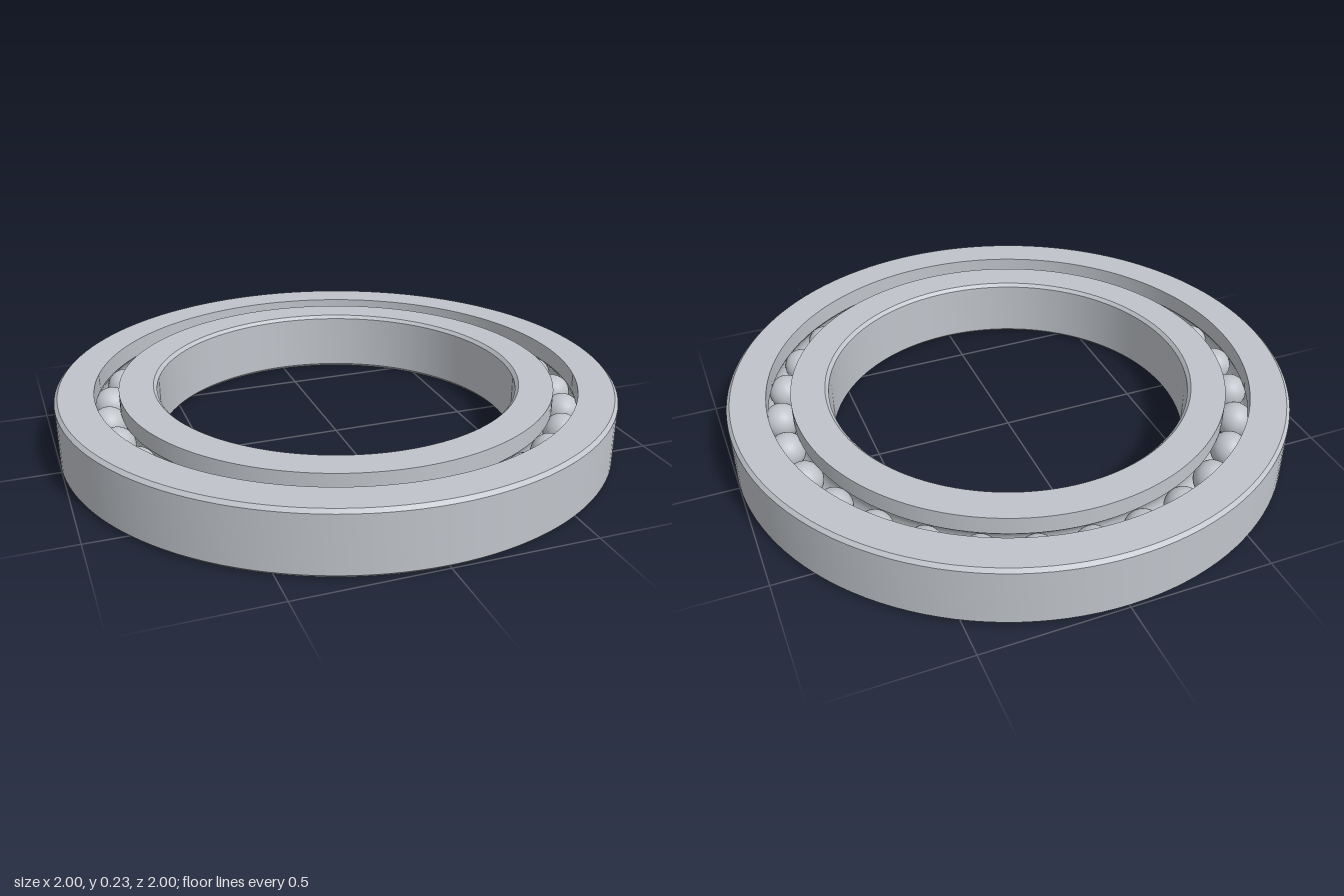
import * as THREE from 'three';
import { toCreasedNormals } from 'three/addons/utils/BufferGeometryUtils.js';

const HEIGHT = 0.226, MID = HEIGHT / 2;
const CHAMFER = 0.012;
const PITCH = 0.82;          // radius of the circle of ball centres
const BALL_R = 0.064, GROOVE_R = 0.065, BALLS = 29;

// Arc of the ball groove on one side of the pitch circle (side +1 outer, -1 inner),
// listed counterclockwise around the ring's cross-section
function grooveArc(side, shoulder) {
  const half = Math.acos(Math.abs(shoulder - PITCH) / GROOVE_R);
  const points = [];
  for (let i = 0; i <= 10; i++) {
    const a = half * (1 - i / 5);
    points.push([PITCH + side * GROOVE_R * Math.cos(a), MID + side * GROOVE_R * Math.sin(a)]);
  }
  return points;
}

// Revolve a closed counterclockwise (radius, height) section
function ring(name, section, material) {
  const points = [...section, section[0]].map(([r, y]) => new THREE.Vector2(r, y));
  const geometry = toCreasedNormals(new THREE.LatheGeometry(points, 128), Math.PI / 7);
  const mesh = new THREE.Mesh(geometry, material);
  mesh.name = name;
  return mesh;
}

export function createModel() {
  const model = new THREE.Group();
  model.name = 'ballBearing';
  const steel = new THREE.MeshStandardMaterial({ color: 0xc0c4ca });
  steel.name = 'steel grey';

  // Outer ring: chamfered outside, grooved inside
  const outerShoulder = 0.863;
  model.add(ring('outerRing', [
    [outerShoulder, 0], [1 - CHAMFER, 0], [1, CHAMFER],
    [1, HEIGHT - CHAMFER], [1 - CHAMFER, HEIGHT], [outerShoulder, HEIGHT],
    ...grooveArc(1, outerShoulder),
  ], steel));

  // Inner ring: grooved outside, chamfered bore
  const innerShoulder = 0.778, bore = 0.645;
  model.add(ring('innerRing', [
    [bore + CHAMFER, 0], [innerShoulder, 0],
    ...grooveArc(-1, innerShoulder),
    [innerShoulder, HEIGHT], [bore + CHAMFER, HEIGHT],
    [bore, HEIGHT - CHAMFER], [bore, CHAMFER],
  ], steel));

  // Balls evenly spaced around the pitch circle
  const balls = new THREE.Group();
  balls.name = 'balls';
  const ballGeometry = new THREE.SphereGeometry(BALL_R, 32, 20);
  for (let i = 0; i < BALLS; i++) {
    const a = (i / BALLS) * Math.PI * 2;
    const ball = new THREE.Mesh(ballGeometry, steel);
    ball.name = 'ball';
    ball.position.set(PITCH * Math.cos(a), MID, PITCH * Math.sin(a));
    balls.add(ball);
  }
  model.add(balls);
  return model;
}
